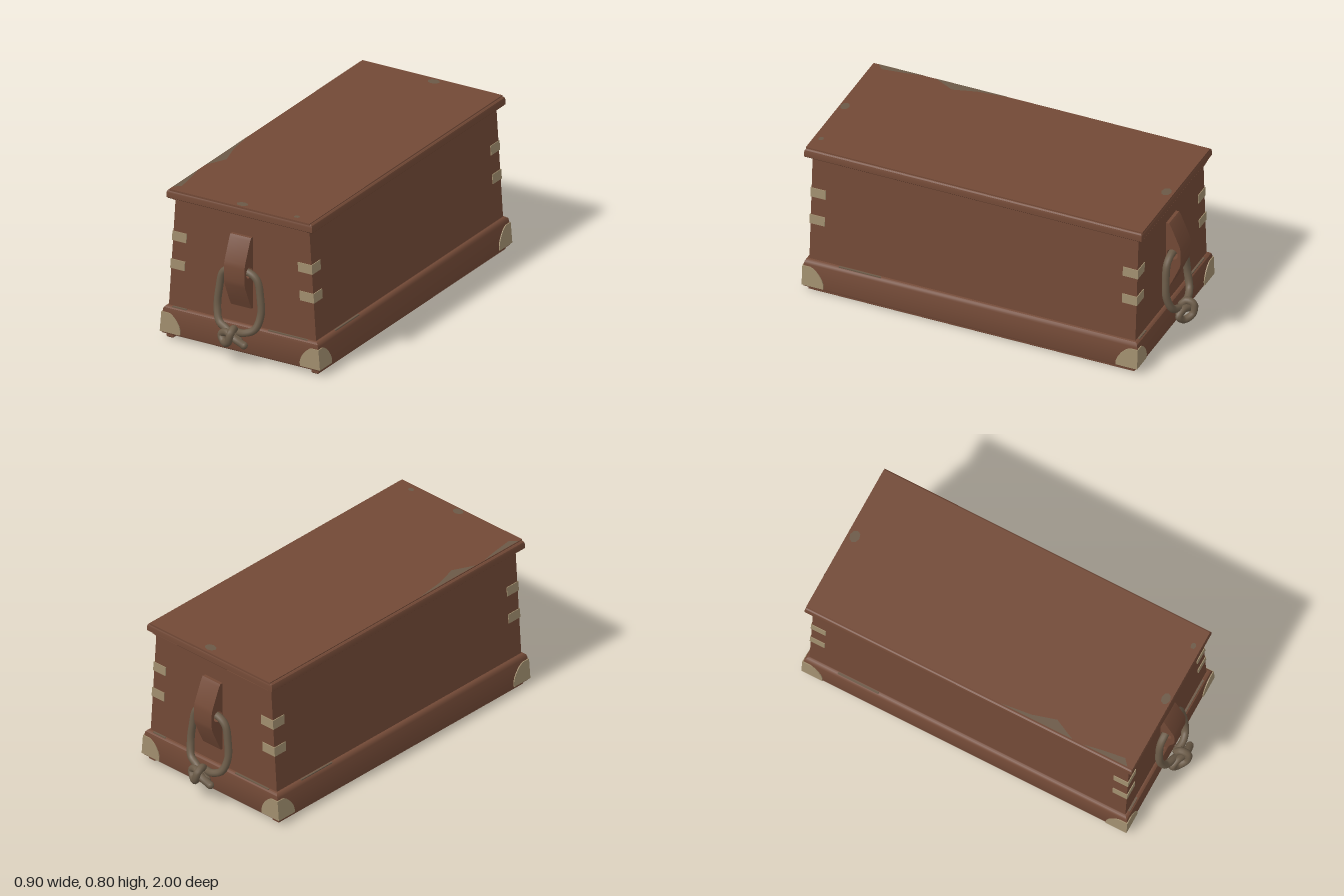
import * as THREE from 'three';
import { toCreasedNormals } from 'three/addons/utils/BufferGeometryUtils.js';

const mat = (name, color) => {
  const m = new THREE.MeshStandardMaterial({ color });
  m.name = name;
  return m;
};

// Stacked rectangles [y, half width, half depth], capped at both ends
function loft(rings) {
  const pos = [];
  const loops = rings.map(([y, w, d]) => [[w, y, d], [w, y, -d], [-w, y, -d], [-w, y, d]]);
  const quad = (a, b, c, d) => pos.push(...a, ...b, ...c, ...a, ...c, ...d);
  for (let i = 0; i < loops.length - 1; i++) {
    const lo = loops[i], hi = loops[i + 1];
    for (let j = 0; j < 4; j++) quad(lo[j], lo[(j + 1) % 4], hi[(j + 1) % 4], hi[j]);
  }
  const [a, b, c, d] = loops[0];
  quad(d, c, b, a);
  quad(...loops[loops.length - 1]);
  const g = new THREE.BufferGeometry();
  g.setAttribute('position', new THREE.Float32BufferAttribute(pos, 3));
  return toCreasedNormals(g, 0.6);
}

// Reflect a geometry, keeping its faces outward
function reflect(geo, sx, sz) {
  const g = geo.index ? geo.toNonIndexed() : geo.clone();
  g.scale(sx, 1, sz);
  if (sx * sz < 0) {
    const p = g.attributes.position, a = new THREE.Vector3(), b = new THREE.Vector3();
    for (let i = 0; i < p.count; i += 3) {
      a.fromBufferAttribute(p, i + 1);
      b.fromBufferAttribute(p, i + 2);
      p.setXYZ(i + 1, b.x, b.y, b.z);
      p.setXYZ(i + 2, a.x, a.y, a.z);
    }
  }
  g.computeVertexNormals();
  return g;
}

const shapeOf = (pts) => new THREE.Shape(pts.map(([x, y]) => new THREE.Vector2(x, y)));
const bodyX = (y) => 0.415 - 0.066 * (y - 0.17);
const baseX = (y) => 0.447 - 0.087 * (y - 0.035);

export function createModel() {
  const root = new THREE.Group();
  root.name = 'seaChest';
  const wood = mat('brown wood', 0x724936);
  const brass = mat('pale brass', 0xa08e6e);
  const hemp = mat('rope', 0x6b5b48);
  const worn = mat('worn paint', 0x6b5947);

  const add = (name, geo, material, parent = root) => {
    const m = new THREE.Mesh(geo, material);
    m.name = name;
    parent.add(m);
    return m;
  };
  const box = (name, w, h, d, x, y, z, material) =>
    add(name, new THREE.BoxGeometry(w, h, d), material).position.set(x, y, z);

  // Base moulding with a shallow recess underneath
  add('base', loft([
    [0.03, 0.385, 0.835], [0.02, 0.39, 0.84], [0.02, 0.435, 0.865], [0.026, 0.444, 0.876],
    [0.035, 0.447, 0.88], [0.15, 0.437, 0.88], [0.163, 0.433, 0.877], [0.171, 0.424, 0.868],
    [0.174, 0.412, 0.858],
  ]), wood);
  for (const s of [-1, 1]) {
    const rail = add('skidRail', loft([
      [0, 0.014, 0.855], [0.005, 0.02, 0.86], [0.025, 0.02, 0.86],
    ]), wood);
    rail.position.x = s * 0.408;
  }

  // Tapered body
  add('body', loft([[0.165, bodyX(0.165), 0.86], [0.755, bodyX(0.755), 0.86]]), wood);

  // Lid with rounded rim, top panel and pointed end boards
  add('lidRim', loft([
    [0.746, 0.404, 0.884], [0.752, 0.41, 0.89], [0.777, 0.41, 0.89],
    [0.787, 0.407, 0.888], [0.792, 0.4, 0.884],
  ]), wood);
  box('lidPanel', 0.79, 0.012, 1.776, 0, 0.791, 0, wood);
  const gable = new THREE.ExtrudeGeometry(
    shapeOf([[-0.38, 0.748], [0, 0.683], [0.38, 0.748]]), { depth: 0.03, bevelEnabled: false });
  gable.translate(0, 0, 0.858);
  for (const s of [1, -1]) add('lidEndBoard', reflect(gable, s, s), wood);

  // Brass plates folded round each upright edge; outline is [distance from edge, y]
  const fold = (name, outline, sideX, zFace, lift) => {
    const t = 0.008;
    const front = new THREE.ExtrudeGeometry(shapeOf(outline), { depth: t, bevelEnabled: false });
    const side = front.clone();
    const p = front.attributes.position, q = side.attributes.position;
    for (let i = 0; i < p.count; i++) {
      const u = p.getX(i), y = p.getY(i), k = p.getZ(i) - t + lift;
      p.setXYZ(i, sideX(y) + lift - u, y, zFace + k);
      q.setXYZ(i, sideX(y) + k, y, zFace + lift - u);
    }
    const frontFixed = reflect(reflect(front, -1, 1), -1, 1);
    for (const sx of [-1, 1]) for (const sz of [-1, 1]) {
      const pair = new THREE.Group();
      pair.name = name;
      root.add(pair);
      // the front outline runs inward from the edge, so its winding is turned over
      const f = reflect(frontFixed, sx, sz);
      const a = f.attributes.position;
      for (let i = 0; i < a.count; i += 3) {
        const v = [a.getX(i + 1), a.getY(i + 1), a.getZ(i + 1)];
        a.setXYZ(i + 1, a.getX(i + 2), a.getY(i + 2), a.getZ(i + 2));
        a.setXYZ(i + 2, ...v);
      }
      f.computeVertexNormals();
      add(name + 'End', f, brass, pair);
      add(name + 'Side', reflect(side, sx, sz), brass, pair);
    }
  };
  const quarter = [[0, 0.035], [0.113, 0.035], [0.113, 0.058], [0.105, 0.08], [0.09, 0.103],
    [0.072, 0.122], [0.052, 0.136], [0.04, 0.14], [0, 0.14]];
  fold('cornerGuard', quarter, baseX, 0.88, 0.005);
  for (const y of [0.37, 0.519])
    fold('edgeStrap', [[0, y], [0.08, y], [0.08, y + 0.049], [0, y + 0.049]], bodyX, 0.86, 0.004);

  // Handles: pierced wooden cleat with a knotted rope loop
  const cleatShape = shapeOf([[0.855, 0.265], [0.872, 0.265], [0.892, 0.305], [0.932, 0.395],
    [0.937, 0.42], [0.937, 0.49], [0.932, 0.515], [0.885, 0.625], [0.876, 0.638], [0.855, 0.638]]);
  const hole = new THREE.Path();
  hole.absarc(0.893, 0.463, 0.029, 0, Math.PI * 2, true);
  cleatShape.holes.push(hole);
  const cleat = new THREE.ExtrudeGeometry(cleatShape, { depth: 0.116, bevelEnabled: false });
  cleat.translate(0, 0, -0.058).rotateY(-Math.PI / 2);
  const cleatGeo = toCreasedNormals(cleat, 0.5);

  const half = [[0.05, 0.155, 0.925], [0.1, 0.18, 0.912], [0.122, 0.25, 0.892],
    [0.116, 0.34, 0.885], [0.097, 0.425, 0.883], [0.06, 0.455, 0.884]];
  const path = [
    [0.066, 0.105, 0.955], [0.015, 0.132, 0.962], [-0.04, 0.148, 0.945], [-0.074, 0.125, 0.935],
    [-0.05, 0.096, 0.95], [-0.01, 0.112, 0.978], [0.004, 0.16, 0.978], [0.001, 0.174, 0.945],
    [-0.005, 0.15, 0.918], ...half, [0, 0.46, 0.885],
    ...half.map(([x, y, z]) => [-x, y, z]).reverse(), [0, 0.128, 0.938], [0.03, 0.115, 0.94],
  ].map((p) => new THREE.Vector3(...p));
  const r = 0.019;
  const rope = new THREE.TubeGeometry(new THREE.CatmullRomCurve3(path), 150, r, 10);
  for (const turn of [0, Math.PI]) {
    const handle = new THREE.Group();
    handle.name = turn ? 'backHandle' : 'frontHandle';
    handle.rotation.y = turn;
    root.add(handle);
    add('cleat', cleatGeo, wood, handle);
    add('ropeLoop', rope, hemp, handle);
    for (const end of [path[0], path[path.length - 1]])
      add('ropeEnd', new THREE.SphereGeometry(r, 10, 8), hemp, handle).position.copy(end);
  }

  // Worn spots on the lid, outlines in [x, -z]
  const spot = (x, z, w, d) => [...Array(8).keys()].map((i) =>
    [x + w * Math.cos(i * Math.PI / 4), -z + d * Math.sin(i * Math.PI / 4)]);
  const spots = [
    [[-0.394, -0.17], [-0.375, -0.33], [-0.34, -0.45], [-0.375, -0.52], [-0.394, -0.56]],
    [[-0.394, -0.62], [-0.375, -0.72], [-0.36, -0.83], [-0.394, -0.86]],
    spot(0.03, -0.85, 0.032, 0.025), spot(0, 0.86, 0.03, 0.022), spot(0.3, 0.85, 0.016, 0.013),
  ];
  for (const s of spots) {
    const g = new THREE.ShapeGeometry(shapeOf(s)).rotateX(-Math.PI / 2);
    add('wornLidSpot', g, worn).position.y = 0.7985;
  }
  // Worn strips along the top of the base
  for (const s of [1, -1]) {
    box('wornEndStrip', 0.08, 0.007, 0.01, -0.35 * s, 0.17, 0.866 * s, worn);
    box('wornEndStrip', 0.22, 0.007, 0.01, 0.26 * s, 0.17, 0.866 * s, worn);
    box('wornSideStrip', 0.01, 0.007, 0.22, 0.422 * s, 0.17, 0.59 * s, worn);
  }
  return root;
}
